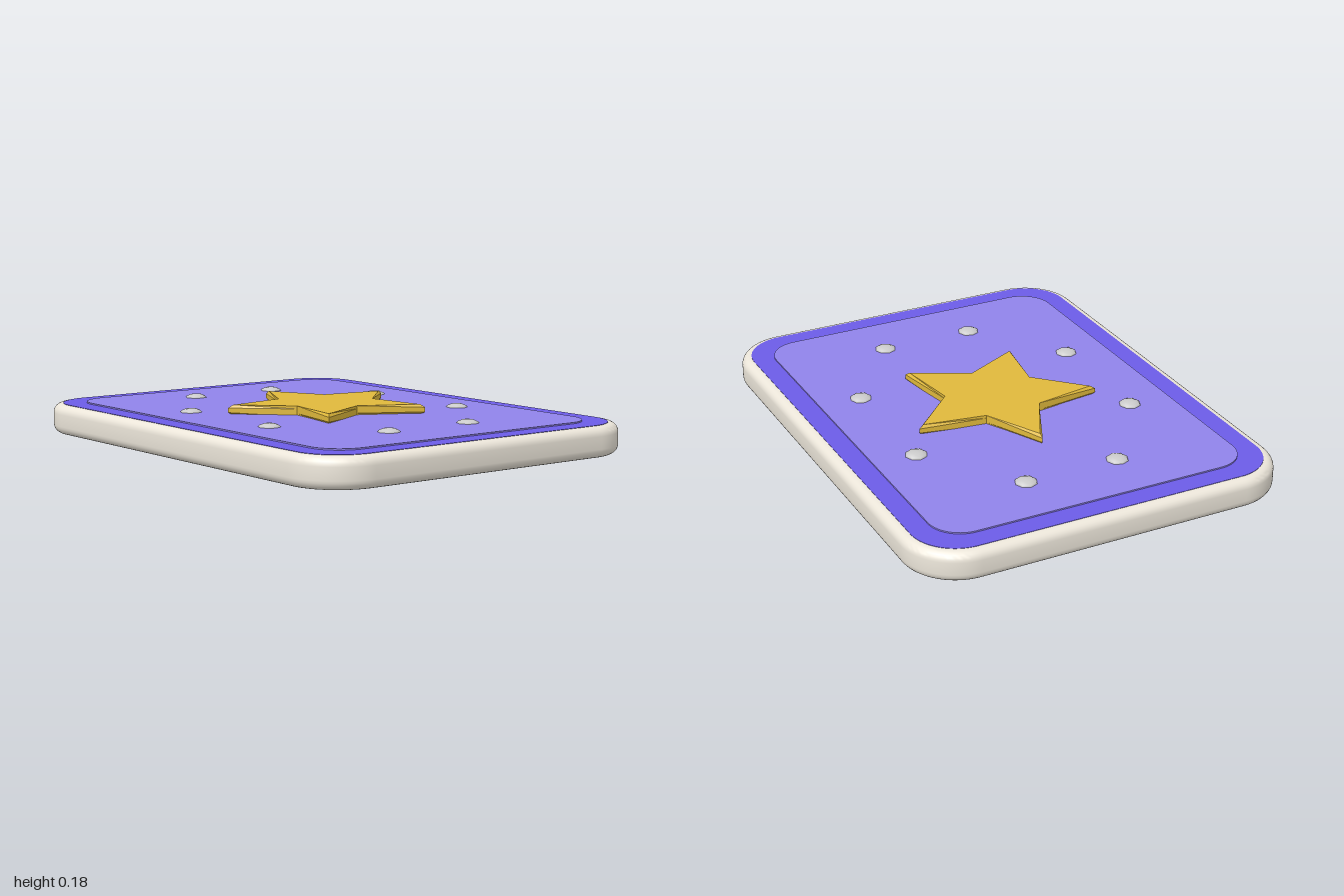
import * as THREE from 'three';
import { toCreasedNormals } from 'three/addons/utils/BufferGeometryUtils.js';

const material = (color) => new THREE.MeshStandardMaterial({ color });

// Rounded rectangle outline from half sizes and corner radius
function roundedRect(w, h, r) {
  const s = new THREE.Shape();
  s.absarc(w - r, h - r, r, 0, Math.PI / 2);
  s.absarc(-w + r, h - r, r, Math.PI / 2, Math.PI);
  s.absarc(-w + r, -h + r, r, Math.PI, Math.PI * 1.5);
  s.absarc(w - r, -h + r, r, Math.PI * 1.5, Math.PI * 2);
  s.closePath();
  return s;
}

// Flat-lying slab between two heights, with optional rounded rim
function slab(w, h, r, y0, y1, bevel = 0) {
  const geo = new THREE.ExtrudeGeometry(roundedRect(w - bevel, h - bevel, r - bevel), {
    depth: y1 - y0 - 2 * bevel,
    curveSegments: 12,
    bevelEnabled: bevel > 0,
    bevelSize: bevel,
    bevelThickness: bevel,
    bevelSegments: 6,
  });
  geo.rotateX(-Math.PI / 2).translate(0, y0 + bevel, 0);
  return toCreasedNormals(geo, 0.6);
}

// Five-pointed star whose tips are rounded off at top and bottom
function starGeometry() {
  const pts = [];
  for (let i = 0; i < 10; i++) {
    const a = Math.PI / 2 + (i * Math.PI) / 5;
    const r = i % 2 ? 0.2 : 0.41;
    pts.push(new THREE.Vector2(r * Math.cos(a), r * Math.sin(a)));
  }
  const geo = new THREE.ExtrudeGeometry(new THREE.Shape(pts), { depth: 3, steps: 3, bevelEnabled: false });
  geo.rotateX(-Math.PI / 2);
  const heights = [0.14, 0.152, 0.17, 0.182];
  const tipScale = [0.95, 1, 1, 0.95];
  const p = geo.attributes.position;
  for (let i = 0; i < p.count; i++) {
    const layer = Math.round(p.getY(i));
    const k = Math.hypot(p.getX(i), p.getZ(i)) > 0.3 ? tipScale[layer] : 1;
    p.setXYZ(i, p.getX(i) * k, heights[layer], p.getZ(i) * k);
  }
  return toCreasedNormals(geo, 0.5);
}

export function createModel() {
  const model = new THREE.Group();
  const add = (name, geo, mat) => {
    const mesh = new THREE.Mesh(geo, mat);
    mesh.name = name;
    model.add(mesh);
    return mesh;
  };
  const grey = material(0xcccccc);

  // Plate and its coloured face
  add('plate', slab(0.77, 1, 0.22, 0.018, 0.139, 0.036), material(0xece6da));
  add('faceBorder', slab(0.73, 0.96, 0.18, 0.13, 0.1405), material(0x6c5ce7));
  add('facePanel', slab(0.645, 0.875, 0.13, 0.135, 0.146), material(0x9083ea));

  // Raised star
  add('star', starGeometry(), material(0xe0b93c));

  // Low domed studs, mirrored around the star
  const studGeo = new THREE.SphereGeometry(0.046, 8, 6);
  for (const [x, z] of [[0.195, 0.64], [0.47, 0.265]]) {
    for (const sx of [-1, 1]) {
      for (const sz of [-1, 1]) {
        const stud = add('stud', studGeo, grey);
        stud.scale.y = 0.4;
        stud.position.set(sx * x, 0.143, sz * z - 0.004);
      }
    }
  }

  // Round foot underneath
  const foot = add('baseDisc', new THREE.CylinderGeometry(0.55, 0.55, 0.024, 48), grey);
  foot.position.y = 0.012;

  return model;
}
